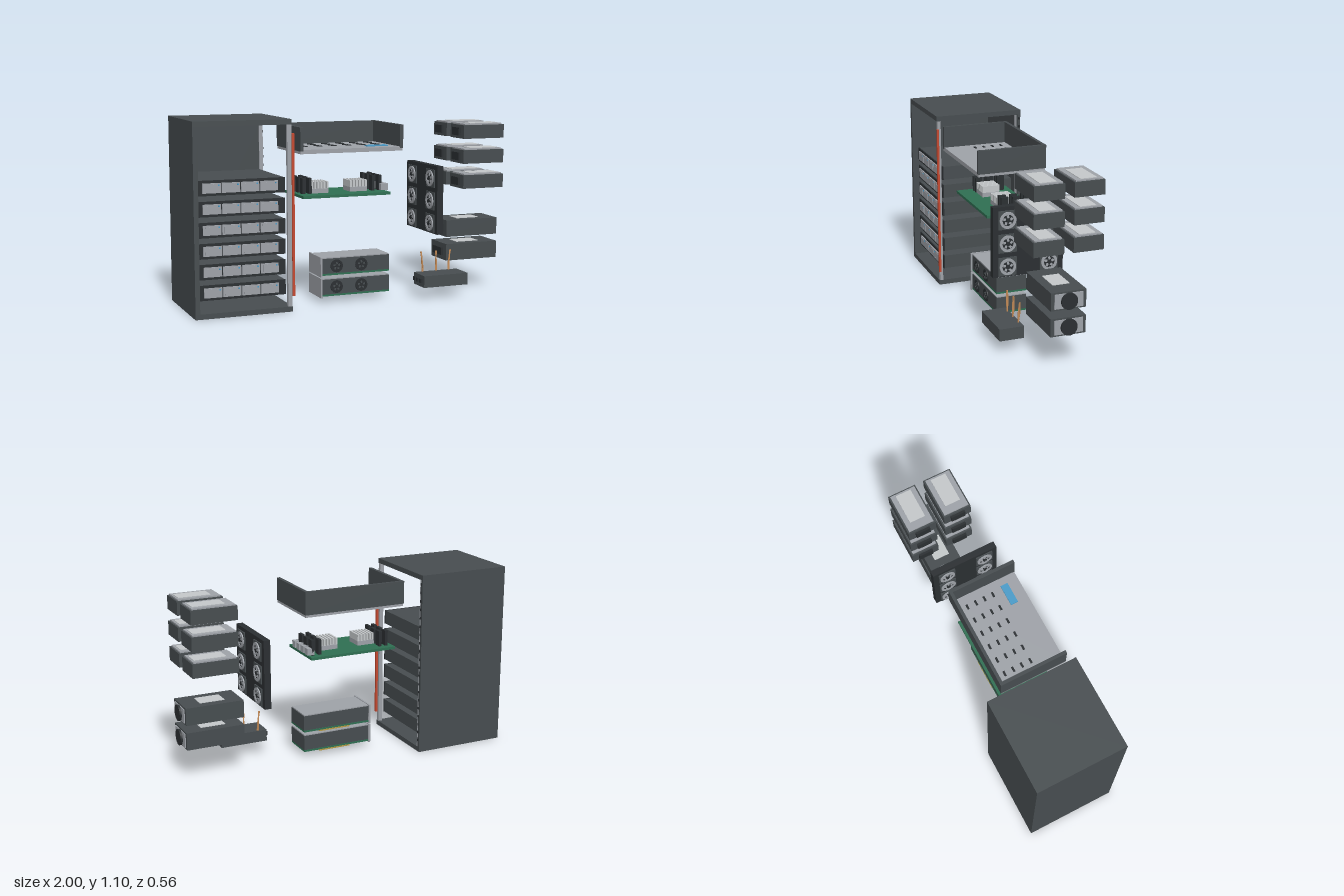
import * as THREE from 'three';

const mat = (color, extra = {}) => new THREE.MeshStandardMaterial({ color, ...extra });
const BODY = mat(0x474d50), DARK = mat(0x2b2f32), LIGHT = mat(0x9ea2a8), PALE = mat(0xc4c8ca);
const RED = mat(0xc4482f), GREEN = mat(0x2f6f52), BLUE = mat(0x4a9bc8);
const COPPER = mat(0xc98f5a), GOLD = mat(0xb59b45);

// Box given by its extents along each axis
function box(parent, name, x0, x1, y0, y1, z0, z1, material) {
  const mesh = new THREE.Mesh(new THREE.BoxGeometry(x1 - x0, y1 - y0, z1 - z0), material);
  mesh.position.set((x0 + x1) / 2, (y0 + y1) / 2, (z0 + z1) / 2);
  mesh.name = name;
  parent.add(mesh);
  return mesh;
}

function group(parent, name) {
  const g = new THREE.Group();
  g.name = name;
  parent.add(g);
  return g;
}

// Disc with its axis along z
function disc(parent, name, r, depth, x, y, z, material) {
  const mesh = new THREE.Mesh(new THREE.CylinderGeometry(r, r, depth, 32).rotateX(Math.PI / 2), material);
  mesh.position.set(x, y, z);
  mesh.name = name;
  parent.add(mesh);
  return mesh;
}

// Fan facing +z: dark well, flat ring, hub and five blades
function fan(parent, r, ringMat, bladeMat) {
  const g = group(parent, 'fan');
  disc(g, 'fanWell', r * 0.98, 0.004, 0, 0, 0.002, DARK);
  const ring = new THREE.Shape().absarc(0, 0, r, 0, Math.PI * 2);
  ring.holes.push(new THREE.Path().absarc(0, 0, r * 0.68, 0, Math.PI * 2, true));
  const rim = new THREE.Mesh(
    new THREE.ExtrudeGeometry(ring, { depth: 0.008, bevelEnabled: false, curveSegments: 24 }), ringMat);
  rim.name = 'fanRing';
  g.add(rim);
  disc(g, 'fanHub', r * 0.26, 0.01, 0, 0, 0.005, DARK);
  for (let i = 0; i < 5; i++) {
    const pivot = group(g, 'bladePivot');
    pivot.rotation.z = (i * Math.PI * 2) / 5;
    const blade = box(pivot, 'blade', -r * 0.13, r * 0.13, r * 0.27, r * 0.62, 0.004, 0.007, bladeMat);
    blade.rotation.z = 0.35;
  }
  return g;
}

function buildCabinet(root) {
  const g = group(root, 'cabinet');
  box(g, 'basePanel', -1, -0.43, 0, 0.03, -0.28, 0.27, BODY);
  box(g, 'roofPanel', -1, -0.43, 1.07, 1.1, -0.28, 0.27, BODY);
  box(g, 'sidePanel', -1, -0.973, 0.03, 1.07, -0.28, 0.27, BODY);
  box(g, 'backPanel', -0.973, -0.43, 0.03, 1.07, -0.28, -0.263, BODY);
  box(g, 'frontPost', -0.455, -0.43, 0.03, 1.07, 0.245, 0.265, LIGHT);
  box(g, 'rearPost', -0.455, -0.432, 0.03, 1.07, -0.257, -0.249, LIGHT);
  box(g, 'redStrip', -0.43, -0.416, 0.09, 1.02, 0.261, 0.274, RED);
  for (let i = 0; i < 20; i++) {
    const y = 0.07 + i * 0.051;
    box(g, 'rearClip', -0.436, -0.424, y, y + 0.014, -0.275, -0.265, DARK);
  }
  // Six drive bays with four drawers each
  for (let row = 0; row < 6; row++) {
    const bay = group(g, 'driveBay');
    const y = 0.139 + row * 0.1177;
    box(bay, 'bayBody', -0.97, -0.46, y - 0.042, y + 0.042, -0.23, 0.222, BODY);
    box(bay, 'bayBezel', -0.972, -0.458, y - 0.043, y + 0.043, 0.222, 0.23, DARK);
    for (let i = 0; i < 4; i++) {
      const x = -0.94 + i * 0.111;
      box(bay, 'driveDrawer', x, x + 0.105, y - 0.028, y + 0.028, 0.23, 0.238, LIGHT);
      box(bay, 'drawerHandle', x + 0.012, x + 0.075, y - 0.02, y + 0.02, 0.238, 0.24, LIGHT);
      box(bay, 'driveLamp', x + 0.088, x + 0.096, y + 0.012, y + 0.02, 0.238, 0.241, BLUE);
    }
  }
}

function buildTray(root) {
  const g = group(root, 'tray');
  box(g, 'trayFloor', -0.37, 0.265, 0.898, 0.922, -0.16, 0.248, LIGHT);
  box(g, 'trayBack', -0.372, 0.267, 0.913, 1.05, -0.164, -0.145, BODY);
  box(g, 'trayEnd', -0.372, -0.352, 0.913, 1.05, -0.145, 0.25, BODY);
  box(g, 'trayEnd', 0.247, 0.267, 0.913, 1.05, -0.145, 0.25, BODY);
  for (let c = 0; c < 6; c++) for (let r = 0; r < 4; r++) {
    const x = -0.28 + c * 0.091, z = -0.092 + r * 0.055;
    box(g, 'ventSlot', x - 0.016, x + 0.016, 0.922, 0.926, z - 0.006, z + 0.006, DARK);
  }
  box(g, 'trayLabel', 0.07, 0.2, 0.922, 0.928, 0.135, 0.18, BLUE);
}

function buildMainboard(root) {
  const g = group(root, 'mainboard');
  box(g, 'circuitBoard', -0.33, 0.22, 0.632, 0.648, -0.14, 0.18, GREEN);
  // Finned heat sinks
  for (const x of [-0.19, 0.055]) {
    box(g, 'heatSinkBase', x - 0.055, x + 0.055, 0.648, 0.675, -0.03, 0.08, LIGHT);
    for (let i = 0; i < 6; i++) {
      const fx = x - 0.055 + i * 0.0196;
      box(g, 'heatSinkFin', fx, fx + 0.012, 0.675, 0.715, -0.03, 0.08, PALE);
    }
  }
  // Memory sticks
  for (const x of [-0.292, -0.252, 0.148, 0.192])
    for (const z of [-0.1, -0.03, 0.04])
      box(g, 'memoryStick', x - 0.009, x + 0.009, 0.648, 0.74, z, z + 0.045, DARK);
  for (let i = 0; i < 4; i++) {
    const z = -0.1 + i * 0.06;
    box(g, 'portBlock', 0.185, 0.228, 0.652, 0.692, z, z + 0.04, LIGHT);
  }
}

function buildExpansionCards(root) {
  for (const y of [0.03, 0.155]) {
    const g = group(root, 'expansionCard');
    g.position.y = y;
    box(g, 'cardBoard', -0.196, 0.235, 0.007, 0.018, -0.06, 0.128, GREEN);
    box(g, 'cardShroud', -0.196, 0.235, 0.018, 0.108, -0.058, 0.128, BODY);
    box(g, 'cardTop', -0.196, 0.232, 0.108, 0.114, -0.055, 0.126, LIGHT);
    box(g, 'cardBracket', -0.208, -0.196, 0, 0.118, -0.065, 0.137, LIGHT);
    box(g, 'edgeContacts', -0.065, 0.135, 0, 0.008, -0.062, -0.045, GOLD);
    for (const x of [-0.105, 0.053]) {
      const f = fan(g, 0.038, DARK, BODY);
      f.position.set(x, 0.062, 0.127);
    }
  }
}

function buildFanWall(root) {
  const g = group(root, 'fanWall');
  box(g, 'fanPanel', 0.488, 0.528, 0.385, 0.795, -0.163, 0.259, DARK);
  for (const z of [0.174, -0.075]) for (const y of [0.446, 0.582, 0.718]) {
    box(g, 'fanHousing', 0.481, 0.535, y - 0.054, y + 0.054, z - 0.054, z + 0.054, BODY);
    for (const side of [-1, 1]) {
      const f = fan(g, 0.048, LIGHT, LIGHT);
      f.rotation.y = side * Math.PI / 2;
      f.position.set(0.508 + side * 0.026, y, z);
    }
  }
}

function buildModules(root) {
  // Two columns of three stacked modules
  for (const z of [-0.117, 0.111]) for (const y of [0.645, 0.797, 0.948]) {
    const g = group(root, 'storageModule');
    g.position.set(0, y, z);
    box(g, 'moduleBody', 0.694, 0.967, 0, 0.082, -0.087, 0.087, BODY);
    box(g, 'moduleLid', 0.704, 0.957, 0.082, 0.09, -0.078, 0.078, LIGHT);
    box(g, 'moduleLabel', 0.753, 0.945, 0.09, 0.093, -0.048, 0.048, PALE);
    box(g, 'modulePlug', 0.68, 0.694, 0.018, 0.066, -0.045, 0.045, DARK);
  }
  // Two power supplies with an end fan
  for (const y of [0.19, 0.338]) {
    const g = group(root, 'powerSupply');
    g.position.y = y;
    box(g, 'supplyBody', 0.633, 0.982, 0, 0.103, -0.102, 0.102, BODY);
    box(g, 'supplyEndPlate', 0.982, 0.988, 0.01, 0.093, -0.083, 0.083, LIGHT);
    const f = disc(g, 'supplyFan', 0.047, 0.014, 0.993, 0.05, 0, DARK);
    f.rotation.y = Math.PI / 2;
    box(g, 'supplyLabel', 0.73, 0.88, 0.103, 0.106, -0.05, 0.05, PALE);
    box(g, 'supplyPlug', 0.62, 0.633, 0.028, 0.075, -0.06, 0.06, DARK);
  }
}

function buildDistributionBox(root) {
  const g = group(root, 'distributionBox');
  box(g, 'distributionBody', 0.398, 0.688, 0.072, 0.143, 0.135, 0.28, BODY);
  for (const z of [0.165, 0.205, 0.245])
    box(g, 'sidePlug', 0.385, 0.398, 0.098, 0.122, z - 0.012, z + 0.012, DARK);
  // Three upright paired leads
  [[0.452, -0.01], [0.543, 0], [0.627, 0.012]].forEach(([x, lean]) => {
    for (const side of [-1, 1]) {
      const path = new THREE.CatmullRomCurve3([
        new THREE.Vector3(x + side * 0.003, 0.14, 0.146),
        new THREE.Vector3(x + lean * 0.3, 0.2, 0.143 + side * 0.004),
        new THREE.Vector3(x + lean - side * 0.003, 0.268, 0.142)]);
      const lead = new THREE.Mesh(new THREE.TubeGeometry(path, 12, 0.004, 8), COPPER);
      lead.name = 'lead';
      g.add(lead);
    }
  });
}

export function createModel() {
  const root = new THREE.Group();
  root.name = 'explodedServerCabinet';
  buildCabinet(root);
  buildTray(root);
  buildMainboard(root);
  buildExpansionCards(root);
  buildFanWall(root);
  buildModules(root);
  buildDistributionBox(root);
  return root;
}
